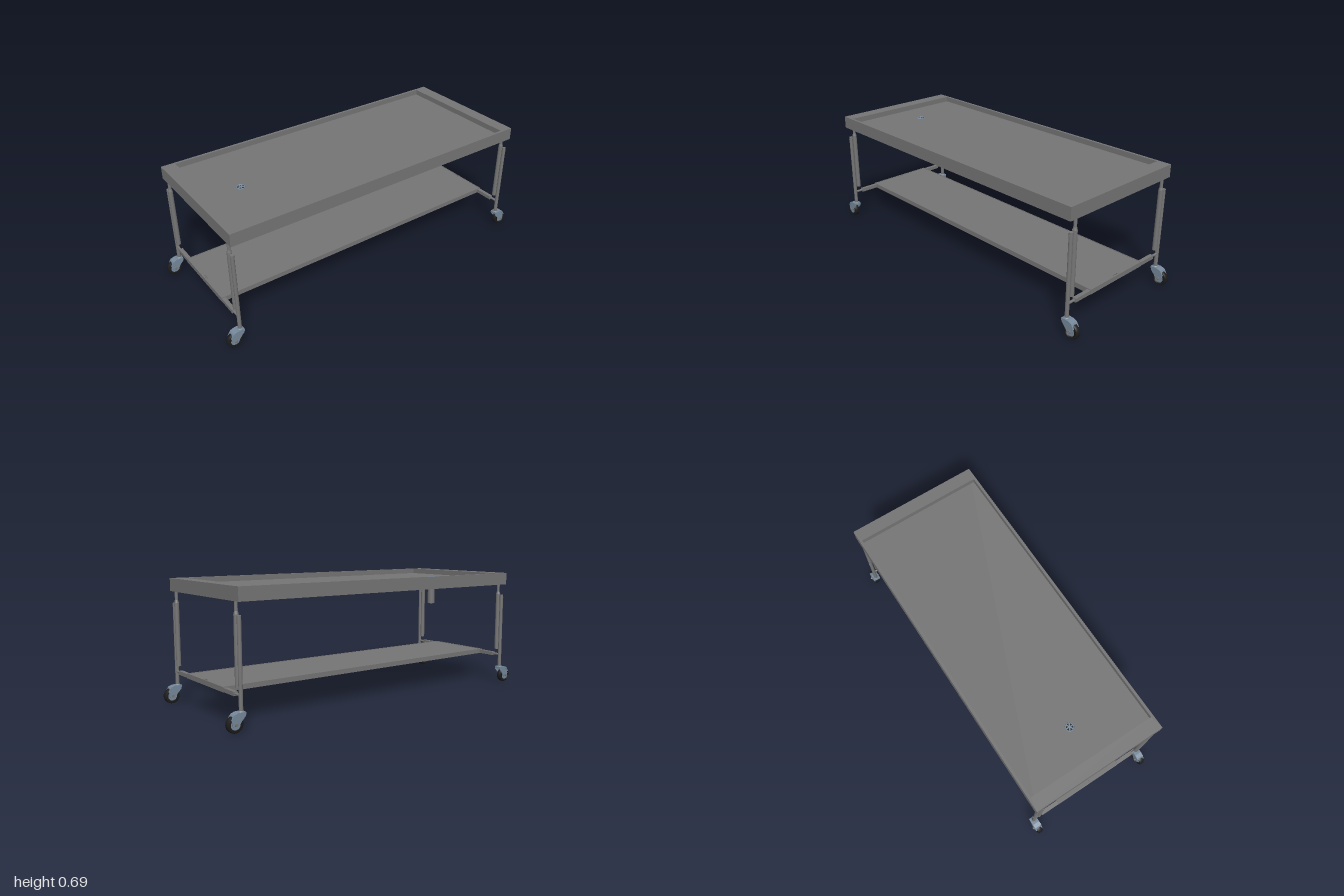
import * as THREE from 'three';

const steel = new THREE.MeshStandardMaterial({ color: 0x757575 });
const casterMetal = new THREE.MeshStandardMaterial({ color: 0x75889a });
const rubber = new THREE.MeshStandardMaterial({ color: 0x1c1c1c });
steel.name = 'steel';
casterMetal.name = 'casterMetal';
rubber.name = 'rubber';

function add(parent, name, geometry, material, x = 0, y = 0, z = 0) {
  const mesh = new THREE.Mesh(geometry, material);
  mesh.name = name;
  mesh.position.set(x, y, z);
  parent.add(mesh);
  return mesh;
}

const box = (w, h, d) => new THREE.BoxGeometry(w, h, d);

// Vertical cylinder between two heights
const post = (r, y0, y1, rTop = r) =>
  new THREE.CylinderGeometry(rTop, r, y1 - y0, 24).translate(0, (y0 + y1) / 2, 0);

// Cylinder lying along x
const rod = (r, length) => new THREE.CylinderGeometry(r, r, length, 24).rotateZ(Math.PI / 2);

function rectangle(Type, w, d) {
  const p = new Type();
  p.moveTo(-w, -d);
  p.lineTo(w, -d);
  p.lineTo(w, d);
  p.lineTo(-w, d);
  p.closePath();
  return p;
}

// Horizontal frame with a rectangular opening, half sizes given
function frame(w, d, innerW, innerD, height) {
  const shape = rectangle(THREE.Shape, w, d);
  shape.holes.push(rectangle(THREE.Path, innerW, innerD));
  return new THREE.ExtrudeGeometry(shape, { depth: height, bevelEnabled: false }).rotateX(-Math.PI / 2);
}

// Profile in (z, y), extruded across x and centred
function sidePlate(points, width) {
  const shape = new THREE.Shape(points.map(([z, y]) => new THREE.Vector2(z, y)));
  return new THREE.ExtrudeGeometry(shape, { depth: width, bevelEnabled: false })
    .rotateY(-Math.PI / 2).translate(width / 2, 0, 0);
}

// Swivel caster, trailing towards +z from its stem
function makeCaster() {
  const g = new THREE.Group();
  g.name = 'caster';
  const cheek = [[-0.014, 0.096], [0.02, 0.096], [0.048, 0.08], [0.058, 0.055],
    [0.052, 0.034], [0.036, 0.028], [0.022, 0.036], [0.006, 0.058], [-0.014, 0.08]];
  for (const s of [-1, 1]) {
    add(g, 'forkCheek', sidePlate(cheek, 0.004), casterMetal, s * 0.018);
    add(g, 'axleNut', rod(0.008, 0.006), steel, s * 0.022, 0.044, 0.037);
  }
  const hood = [[-0.016, 0.087], [0.04, 0.087], [0.058, 0.064], [0.062, 0.067],
    [0.046, 0.092], [0.024, 0.1], [-0.016, 0.1]];
  add(g, 'forkHood', sidePlate(hood, 0.042), casterMetal);
  add(g, 'swivelCollar', post(0.018, 0.096, 0.104, 0.013), casterMetal);
  // Tyre with rounded shoulders
  const profile = [[0.026, -0.0145], [0.038, -0.0145], [0.042, -0.011], [0.043, 0],
    [0.042, 0.011], [0.038, 0.0145], [0.026, 0.0145], [0.026, -0.0145]];
  const tyre = new THREE.LatheGeometry(profile.map(([r, h]) => new THREE.Vector2(r, h)), 32);
  add(g, 'tyre', tyre.rotateZ(Math.PI / 2), rubber, 0, 0.043, 0.037);
  add(g, 'wheelHub', rod(0.0265, 0.026), casterMetal, 0, 0.043, 0.037);
  add(g, 'axle', rod(0.004, 0.056), steel, 0, 0.044, 0.037);
  return g;
}

// Telescopic leg with its caster at one corner
function makeLeg(sx, sz) {
  const g = new THREE.Group();
  g.name = 'leg';
  const z = sz * 0.922;
  const pole = sx * 0.367, lift = sx * 0.34;
  add(g, 'legPole', post(0.0105, 0.1, 0.557), steel, pole, 0, z);
  add(g, 'liftTube', post(0.013, 0.21, 0.56), steel, lift, 0, z);
  add(g, 'liftCollar', post(0.0125, 0.56, 0.574, 0.009), steel, lift, 0, z);
  add(g, 'liftRod', post(0.0085, 0.574, 0.622), steel, lift, 0, z);
  for (const y of [0.54, 0.29]) {
    add(g, 'tubeBolt', rod(0.003, 0.026), steel, sx * 0.367, y, z);
  }
  // Stepped crossbar from the pole to the shelf
  add(g, 'crossbarSpigot', rod(0.007, 0.05), steel, sx * 0.335, 0.176, z);
  add(g, 'crossbar', box(0.115, 0.021, 0.022), steel, sx * 0.261, 0.176, z);
  const caster = makeCaster();
  caster.position.set(pole, 0, z);
  if (sz < 0) caster.rotation.y = Math.PI;
  g.add(caster);
  return g;
}

export function createModel() {
  const model = new THREE.Group();
  model.name = 'wheeledTable';
  const table = new THREE.Group();
  table.name = 'table';
  table.rotation.y = 0.007;
  model.add(table);

  // Shallow basin top
  add(table, 'basinFloor', box(0.78, 0.04, 1.87), steel, 0, 0.641, 0);
  add(table, 'basinRim', frame(0.39, 0.935, 0.375, 0.859, 0.031), steel, 0, 0.661, 0);

  // Drain: flange, grate and outlet pipe
  const drain = new THREE.Group();
  drain.name = 'drain';
  drain.position.set(-0.002, 0, 0.667);
  table.add(drain);
  add(drain, 'drainFlange', new THREE.TorusGeometry(0.022, 0.003, 8, 32).rotateX(Math.PI / 2), casterMetal, 0, 0.661, 0);
  add(drain, 'drainWell', post(0.021, 0.66, 0.6615), rubber);
  for (let i = 0; i < 3; i++) {
    add(drain, 'drainGrate', box(0.042, 0.002, 0.007), casterMetal, 0, 0.662, 0).rotation.y = i * Math.PI / 3;
  }
  const pipe = [[0.018, 0.622], [0.018, 0.49], [0.022, 0.49], [0.022, 0.622]];
  for (let i = 0; i < 3; i++) {
    const section = pipe.slice(i, i + 2).map(([r, y]) => new THREE.Vector2(r, y));
    add(drain, 'outletPipe', new THREE.LatheGeometry(section, 32), steel);
  }

  // Lower shelf with a low lip and end pins
  add(table, 'shelf', box(0.416, 0.024, 1.868), steel, 0, 0.176, 0);
  add(table, 'shelfLip', frame(0.208, 0.934, 0.205, 0.931, 0.003), steel, 0, 0.188, 0);
  for (const sz of [-1, 1]) {
    for (const x of [-0.013, 0, 0.013]) {
      add(table, 'shelfPin', post(0.003, 0.186, 0.194), steel, x, 0, sz * 0.922);
    }
  }

  for (const sx of [-1, 1]) {
    for (const sz of [-1, 1]) table.add(makeLeg(sx, sz));
  }
  return model;
}
